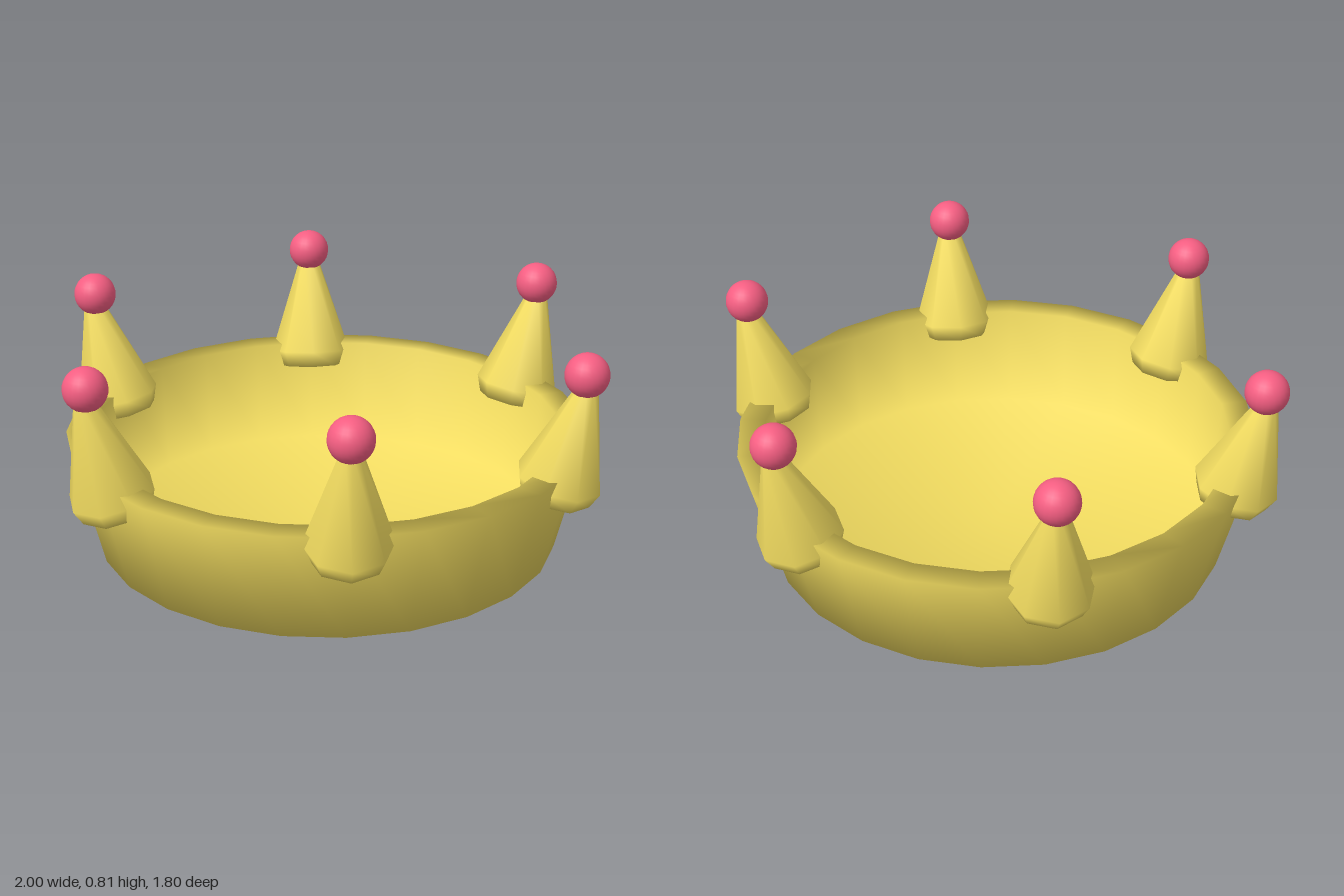
import * as THREE from 'three';

const lathe = (pts, sides) =>
  new THREE.LatheGeometry(pts.map(([r, y]) => new THREE.Vector2(r, y)), sides);

export function createModel() {
  const crown = new THREE.Group();
  crown.name = 'crown';
  const gold = new THREE.MeshStandardMaterial({ color: 0xf2dc60 });
  const pink = new THREE.MeshStandardMaterial({ color: 0xf55e82 });

  const add = (parent, name, geometry, material) => {
    const mesh = new THREE.Mesh(geometry, material);
    mesh.name = name;
    parent.add(mesh);
    return mesh;
  };

  // Flared band with a thick rim, upright inner wall and closed floor
  add(crown, 'band', lathe([
    [0, 0], [0.8, 0], [0.9, 0.4], [0.81, 0.4], [0.79, 0.02], [0, 0.02],
  ], 24), gold);

  // Six spikes leaning outward with the band, each topped by a ball
  const spikeGeometry = lathe([
    [0, -0.065], [0.125, -0.062], [0.147, -0.005], [0.03, 0.36], [0, 0.36],
  ], 8);
  const ballGeometry = new THREE.SphereGeometry(0.074, 24, 16);
  for (let i = 0; i < 6; i++) {
    const point = new THREE.Group();
    point.name = 'point' + (i + 1);
    point.rotation.y = i * Math.PI / 3;
    crown.add(point);

    const spike = add(point, 'spike', spikeGeometry, gold);
    spike.position.set(0.85, 0.365, 0);
    spike.rotation.z = -0.245;

    add(point, 'ball', ballGeometry, pink).position.set(0.926, 0.738, 0);
  }
  return crown;
}
